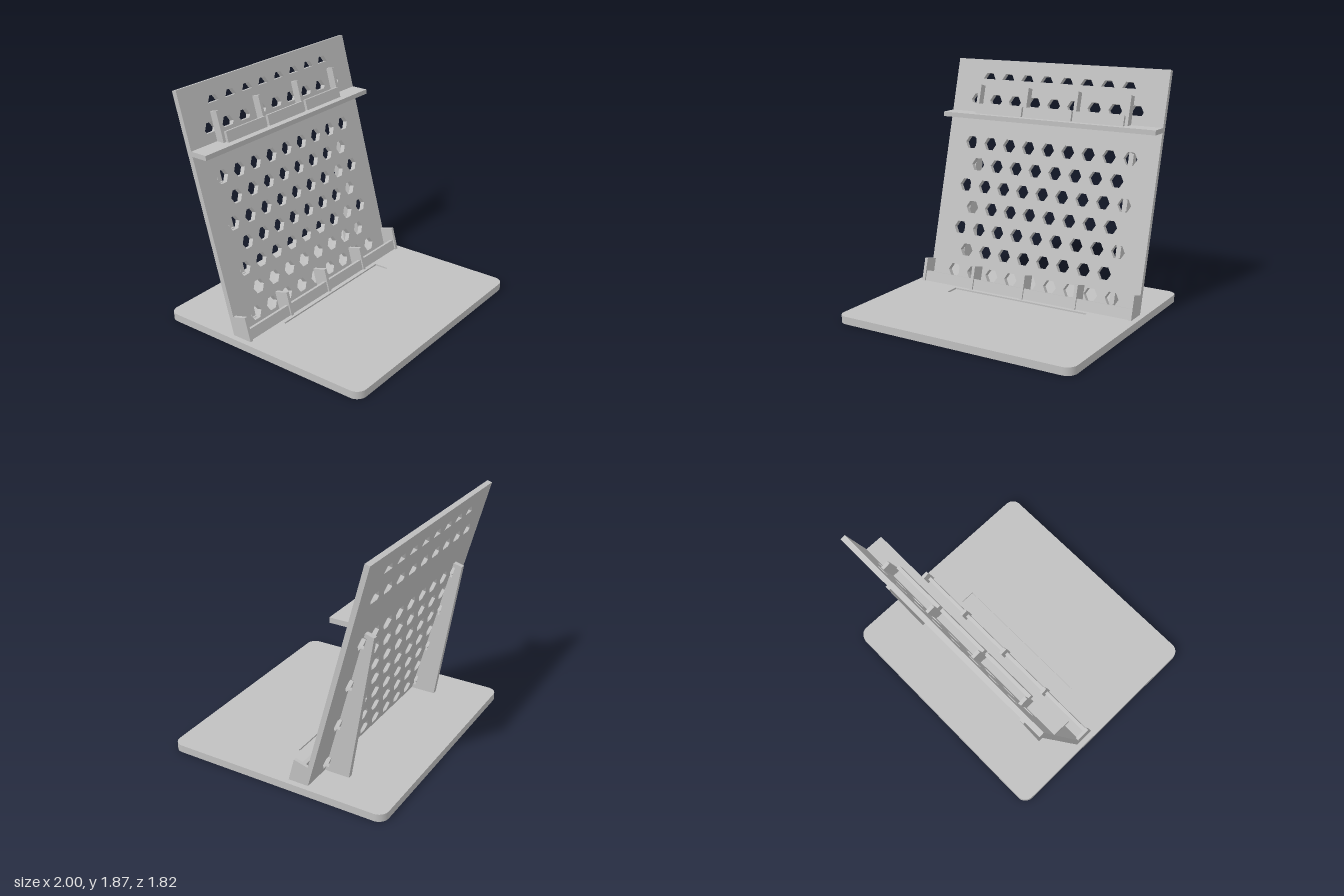
import * as THREE from 'three';

const TILT = Math.PI / 12;
const C = Math.cos(TILT);
const BASE_H = 0.06;

export function createModel() {
  const model = new THREE.Group();
  model.name = 'slopedDisplayStand';
  const grey = new THREE.MeshStandardMaterial({ color: 0xc0c0c0 });
  grey.name = 'light grey';

  const add = (parent, name, geometry) => {
    const mesh = new THREE.Mesh(geometry, grey);
    mesh.name = name;
    parent.add(mesh);
    return mesh;
  };
  const polygon = (pts) => pts.map(([x, y]) => new THREE.Vector2(x, y));
  const rect = (x0, y0, x1, y1) => polygon([[x0, y0], [x1, y0], [x1, y1], [x0, y1]]);

  // Side profile given as [z, y] points, extruded from x0 to x1
  const sidePlate = (pts, x0, x1) => {
    const g = new THREE.ExtrudeGeometry(new THREE.Shape(polygon(pts)), { depth: x1 - x0, bevelEnabled: false });
    return g.rotateY(-Math.PI / 2).translate(x1, 0, 0);
  };

  // Base plate: three layers, with foot recesses below and a shallow tray on top
  const baseLayer = (name, y0, y1, holes) => {
    const w = 1, d = 0.91, r = 0.08;
    const s = new THREE.Shape();
    s.absarc(w - r, d - r, r, 0, Math.PI / 2);
    s.absarc(-w + r, d - r, r, Math.PI / 2, Math.PI);
    s.absarc(-w + r, -d + r, r, Math.PI, Math.PI * 1.5);
    s.absarc(w - r, -d + r, r, Math.PI * 1.5, Math.PI * 2);
    s.holes = holes;
    const g = new THREE.ExtrudeGeometry(s, { depth: y1 - y0, bevelEnabled: false, curveSegments: 12 });
    add(model, name, g.rotateX(-Math.PI / 2).translate(0, y0, 0));
  };
  const feet = [];
  for (const x of [-0.69, 0.69]) {
    for (const z of [-0.8, 0.8]) feet.push(new THREE.Path().absarc(x, z, 0.045, 0, Math.PI * 2, true));
  }
  baseLayer('baseUnderside', 0, 0.012, feet);
  baseLayer('baseCore', 0.012, 0.048, []);
  baseLayer('baseTop', 0.048, BASE_H, [new THREE.Path(rect(-0.6, -0.03, 0.6, 0.09))]);

  // Everything fixed to the leaning panel lives in this tilted frame
  const leaning = new THREE.Group();
  leaning.name = 'leaningAssembly';
  leaning.position.set(0, BASE_H, -0.233);
  leaning.rotation.x = -TILT;
  model.add(leaning);

  // Back panel with staggered hexagonal holes
  const R = 0.058, H = 0.05, PITCH = 0.181;
  const rowY = (k) => 0.094 + k * 0.1794;
  const hexagon = (cx, cy, below) => {
    const pts = [[-R, 0], [-R / 2, H], [R / 2, H], [R, 0]];
    if (below > 0) {
      const x = R - below * (R / 2) / H;
      pts.push([x, -below], [-x, -below]);
    }
    return new THREE.Path(polygon(pts.map(([x, y]) => [cx + x, cy + y])));
  };
  const panel = new THREE.Shape(rect(-0.955, 0, 0.955, 1.87));
  for (let k = 0; k < 10; k++) {
    if (k === 7) continue; // solid strip behind the upper shelf
    const n = k % 2 ? 8 : 9;
    const below = k === 9 ? 0 : k === 8 ? 0.025 : H; // upper rows are cut short
    for (let i = 0; i < n; i++) panel.holes.push(hexagon((i - (n - 1) / 2) * PITCH, rowY(k), below));
  }
  add(leaning, 'backPanel',
    new THREE.ExtrudeGeometry(panel, { depth: 0.04, bevelEnabled: false }).translate(0, 0, -0.04));

  // Rear braces, notched where the outer holes run into them
  const brace = [[-0.04, 0.01]];
  for (let k = 0; k < 7; k += 2) {
    const s = rowY(k);
    brace.push([-0.04, s - 0.045], [-0.062, s - 0.045], [-0.062, s + 0.045], [-0.04, s + 0.045]);
  }
  brace.push([-0.04, 1.247], [-0.113, 1.247], [-0.234, 0.063]);
  for (const x of [-0.7, 0.7]) add(leaning, 'rearBrace', sidePlate(brace, x - 0.02, x + 0.02));

  // Leaning bar or divider standing on a level surface at height y above the base
  const standing = (zBack, zFront, top, y) => {
    const foot = (z) => (y - z * Math.sin(TILT)) / C;
    return [[zBack, foot(zBack)], [zFront, foot(zFront)], [zFront, top], [zBack, top]];
  };

  // Lower ledge: lip and five dividers
  add(leaning, 'lowerLip', sidePlate(standing(0.075, 0.105, 0.055, 0), -0.94, 0.94));
  for (const x of [-0.942, -0.47, 0, 0.47, 0.942]) {
    add(leaning, 'lowerDivider', sidePlate(standing(-0.002, 0.118, 0.16, 0), x - 0.013, x + 0.013));
  }

  // Upper shelf: level board, four dividers and lip segments between them
  add(model, 'upperShelf', new THREE.BoxGeometry(1.91, 0.038, 0.15).translate(0, 1.421, -0.537));
  const posts = [-0.678, -0.226, 0.226, 0.678];
  posts.forEach((x, i) => {
    add(leaning, 'upperDivider', sidePlate(standing(-0.002, 0.062, 1.65, 1.38), x - 0.013, x + 0.013));
    if (i < 3) {
      add(leaning, 'upperLip', sidePlate(standing(0.058, 0.085, 1.489, 1.38), x + 0.013, posts[i + 1] - 0.013));
    }
  });

  return model;
}
